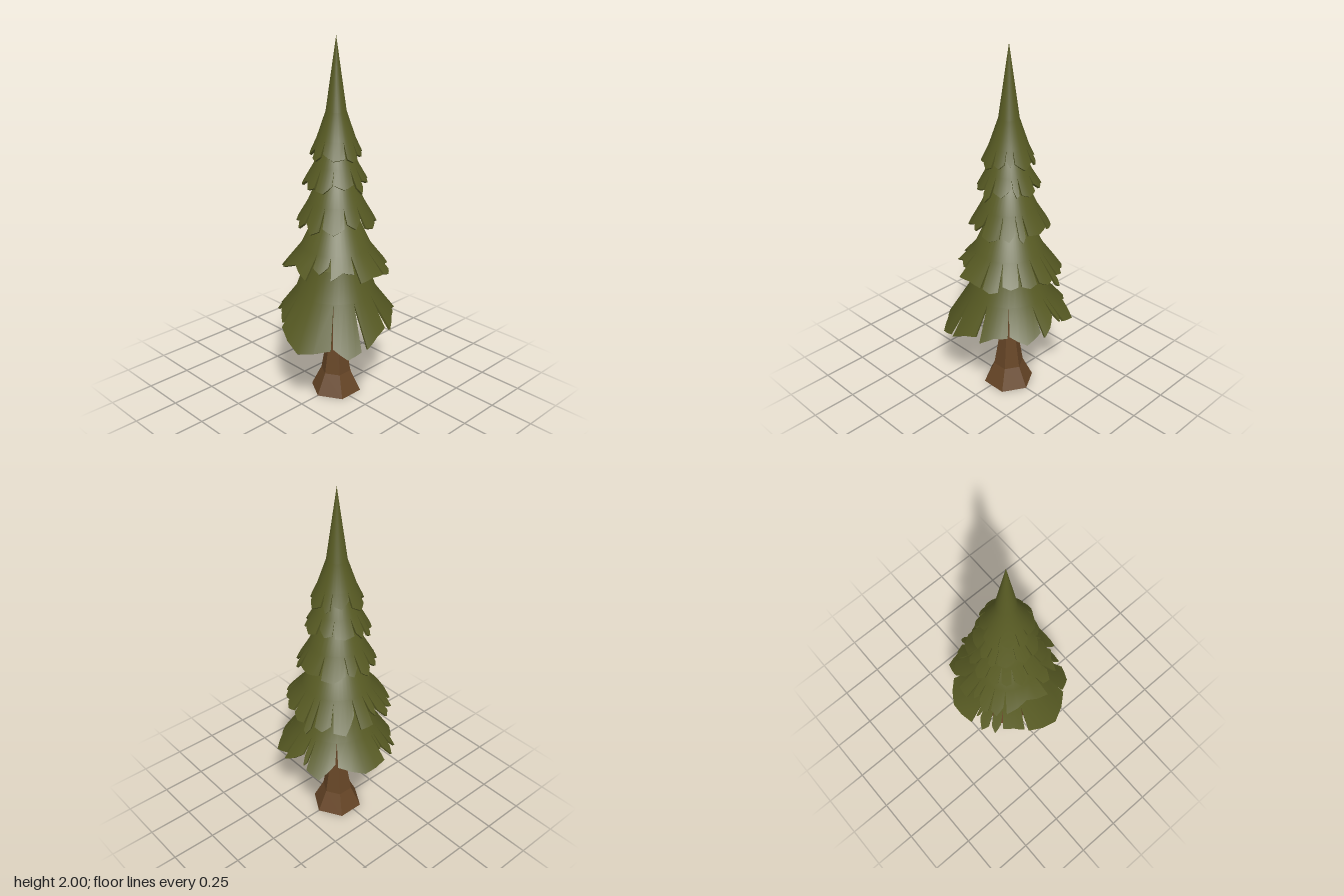
import * as THREE from 'three';
import { toCreasedNormals } from 'three/addons/utils/BufferGeometryUtils.js';

const AXIS_X = 0.017;
const THICKNESS = 0.012;
const WORK_SCALE = 100; // creasing merges points coarsely, so shape large and shrink after

function seeded(seed) {
  let s = seed;
  return () => (s = (s * 16807) % 2147483647) / 2147483647;
}

// Fronds: [start angle, end angle, tip radius at start, middle, end], angles from +x towards +z
const lowestFronds = [
  [-101, -50, 0.33, 0.345, 0.31], [-47, -19, 0.30, 0.36, 0.335], [-17, -12, 0.31, 0.325, 0.29],
  [-9, 10, 0.29, 0.32, 0.34], [12.5, 44, 0.32, 0.345, 0.31], [46, 73, 0.315, 0.315, 0.335],
  [79, 106, 0.32, 0.33, 0.352], [112, 137, 0.355, 0.37, 0.34], [139, 197, 0.345, 0.37, 0.33],
  [201, 224, 0.32, 0.305, 0.305], [227, 237, 0.29, 0.33, 0.30], [240, 252, 0.31, 0.335, 0.29],
  [254, 257, 0.28, 0.29, 0.29],
];
const lowerFronds = [
  [-90, -75, 0.29, 0.29, 0.29], [-71, -45, 0.24, 0.30, 0.29], [-42, -24, 0.27, 0.29, 0.28],
  [-20, -13, 0.29, 0.31, 0.30], [-10, 8, 0.28, 0.285, 0.27], [12, 30, 0.27, 0.28, 0.27],
  [34, 52, 0.27, 0.28, 0.27], [56, 73, 0.29, 0.30, 0.29], [76, 108, 0.29, 0.285, 0.295],
  [113, 140, 0.26, 0.25, 0.28], [144, 164, 0.23, 0.26, 0.24], [168, 220, 0.29, 0.25, 0.29],
  [224, 238, 0.26, 0.30, 0.28], [241, 255, 0.29, 0.30, 0.26], [258, 266, 0.25, 0.27, 0.25],
];

// Irregular fronds for the small upper tiers
function scatterFronds(count, radius, seed) {
  const rnd = seeded(seed);
  const widths = Array.from({ length: count }, () => 0.5 + rnd());
  const total = widths.reduce((a, b) => a + b, 0);
  let angle = rnd() * 40;
  return widths.map((w) => {
    const start = angle + 2.5;
    angle += (w / total) * 360;
    const r = radius * (0.9 + 0.1 * rnd());
    return [start, angle - 2.5, r * (0.88 + 0.1 * rnd()), r, r * (0.88 + 0.1 * rnd())];
  });
}

// One skirt: profile rows [radius, y] from the top; slits open between the last two rows
function tierGeometry(profile, fronds, tilt) {
  const positions = [];
  const tri = (a, b, c) => positions.push(...a, ...b, ...c);
  const quad = (a, b, c, d) => { tri(a, b, c); tri(a, c, d); };
  const rad = Math.PI / 180;
  const last = profile.length - 1;
  const [slitR, slitY] = profile[last - 1];
  const [tipR, tipY] = profile[last];
  const segments = 4;

  const point = (deg, r, y, inset) => {
    const q = Math.max(0, r - inset);
    return [q * Math.cos(deg * rad), y - inset * 0.5, q * Math.sin(deg * rad)]
      .map((v) => v * WORK_SCALE);
  };

  fronds.forEach(([start, end, r0, r1, r2], i) => {
    const n = fronds.length;
    const before = fronds[(i + n - 1) % n][1] - (i === 0 ? 360 : 0);
    const after = fronds[(i + 1) % n][0] + (i === n - 1 ? 360 : 0);
    const from = (before + start) / 2, to = (end + after) / 2;

    const column = (t, inset) => profile.map(([r, y], row) => {
      if (row < last) return point(THREE.MathUtils.lerp(from, to, t), r, y, inset);
      const deg = THREE.MathUtils.lerp(start, end, t);
      const reach = t < 0.5 ? r0 + (r1 - r0) * t * 2 : r1 + (r2 - r1) * (t * 2 - 1);
      const k = (reach - slitR) / (tipR - slitR);
      const lean = tilt * k * (Math.cos(deg * rad) - Math.sin(deg * rad));
      return point(deg, reach, slitY + (tipY - slitY) * k + lean, inset);
    });

    const outer = [], inner = [];
    for (let c = 0; c <= segments; c++) {
      outer.push(column(c / segments, 0));
      inner.push(column(c / segments, THICKNESS));
    }
    for (let c = 0; c < segments; c++) {
      const a = outer[c], b = outer[c + 1], p = inner[c], q = inner[c + 1];
      for (let row = 0; row < last; row++) {
        quad(a[row], b[row], b[row + 1], a[row + 1]);
        quad(p[row + 1], q[row + 1], q[row], p[row]);
      }
      quad(a[last], b[last], q[last], p[last]); // tip edge
    }
    // Slit edges
    const s = last - 1, A = outer[0], P = inner[0], B = outer[segments], Q = inner[segments];
    quad(P[s], A[s], A[last], P[last]);
    quad(B[s], Q[s], Q[last], B[last]);
  });

  const geometry = new THREE.BufferGeometry();
  geometry.setAttribute('position', new THREE.Float32BufferAttribute(positions, 3));
  const creased = toCreasedNormals(geometry, 0.65);
  creased.scale(1 / WORK_SCALE, 1 / WORK_SCALE, 1 / WORK_SCALE);
  return creased;
}

export function createModel() {
  const tree = new THREE.Group();
  tree.name = 'pineTree';

  const needles = new THREE.MeshStandardMaterial({ color: 0x575a23 });
  needles.name = 'needleGreen';
  const bark = new THREE.MeshStandardMaterial({ color: 0x664526 });
  bark.name = 'barkBrown';
  bark.flatShading = true;

  // Six-sided flared trunk
  const trunkProfile = [[0, 0], [0.144, 0], [0.086, 0.12], [0.046, 0.36], [0.042, 0.85], [0, 0.85]]
    .map(([r, y]) => new THREE.Vector2(r, y));
  const trunk = new THREE.Mesh(new THREE.LatheGeometry(trunkProfile, 6, Math.PI / 2), bark);
  trunk.name = 'trunk';
  trunk.position.x = AXIS_X;
  tree.add(trunk);

  // Skirts of needles, bottom to top
  const tiers = [
    { name: 'lowestBranches', fronds: lowestFronds, tilt: 0.025,
      profile: [[0.05, 0.86], [0.165, 0.79], [0.222, 0.63], [0.345, 0.455]] },
    { name: 'lowerBranches', fronds: lowerFronds, tilt: -0.01,
      profile: [[0.04, 1.1], [0.125, 1.03], [0.19, 0.89], [0.29, 0.765]] },
    { name: 'middleBranches', fronds: scatterFronds(13, 0.228, 71), tilt: 0.006,
      profile: [[0.04, 1.32], [0.107, 1.24], [0.15, 1.14], [0.22, 1.02]] },
    { name: 'upperBranches', fronds: scatterFronds(12, 0.188, 523), tilt: 0.006,
      profile: [[0.03, 1.5], [0.085, 1.42], [0.12, 1.34], [0.185, 1.225]] },
    { name: 'treeTop', fronds: scatterFronds(10, 0.149, 907), tilt: 0,
      profile: [[0, 2], [0.054, 1.62], [0.102, 1.48], [0.146, 1.385]] },
  ];
  for (const { name, profile, fronds, tilt } of tiers) {
    const mesh = new THREE.Mesh(tierGeometry(profile, fronds, tilt), needles);
    mesh.name = name;
    mesh.position.x = AXIS_X;
    tree.add(mesh);
  }
  return tree;
}
